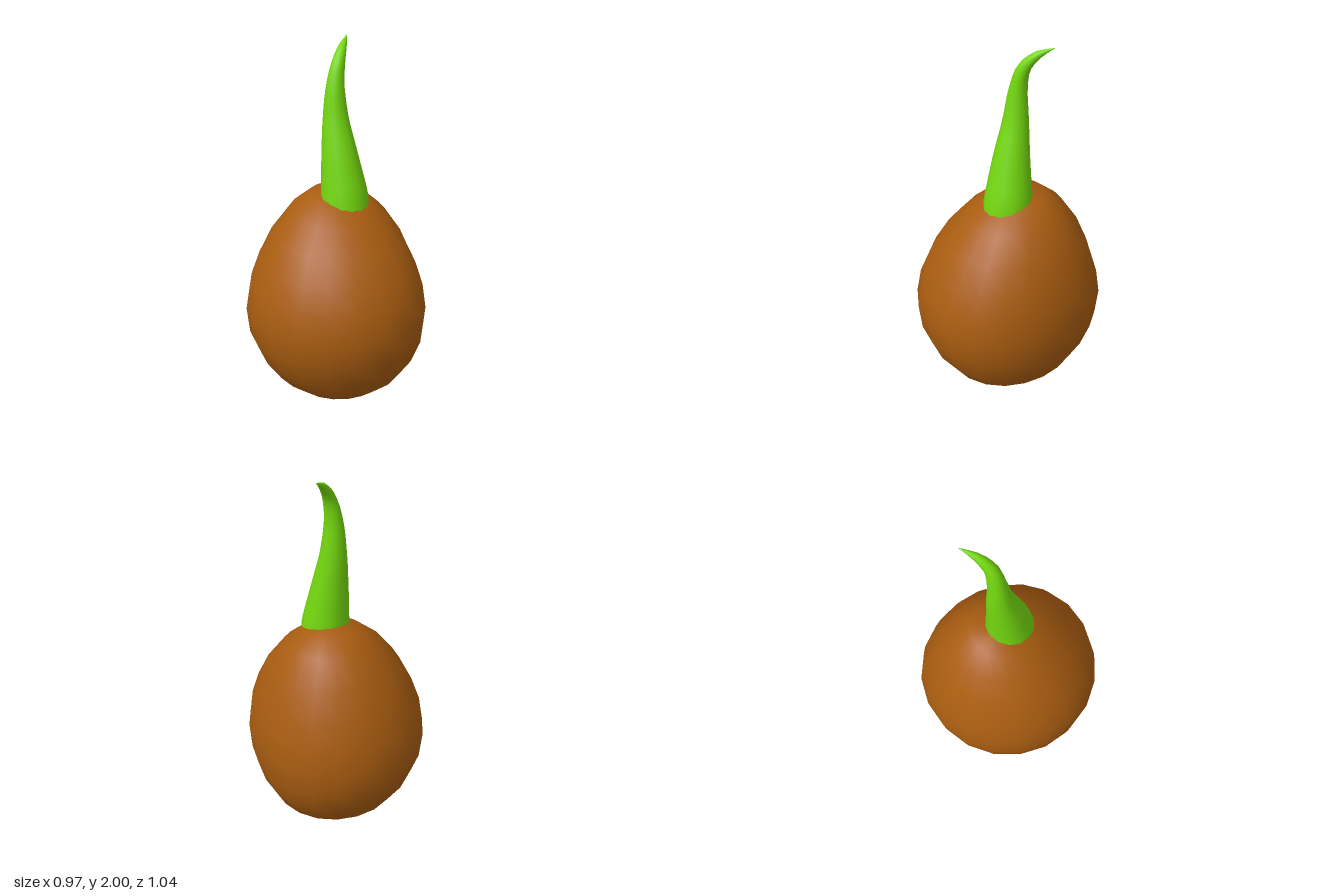
import * as THREE from 'three';
import { mergeVertices } from 'three/addons/utils/BufferGeometryUtils.js';

// Weld the seam and give smooth normals
function smooth(geometry) {
  geometry.deleteAttribute('uv');
  geometry.deleteAttribute('normal');
  const welded = mergeVertices(geometry, 1e-5);
  welded.computeVertexNormals();
  return welded;
}

// Egg-shaped body: lathe, flattened towards +x and with its top leaning back
function createBody() {
  const profile = [
    [0, 0], [0.135, 0.02], [0.26, 0.075], [0.37, 0.165], [0.45, 0.28], [0.505, 0.415], [0.52, 0.56],
    [0.495, 0.7], [0.445, 0.83], [0.37, 0.97], [0.265, 1.1], [0.155, 1.185], [0, 1.215],
  ].map(([r, y]) => new THREE.Vector2(r, y));
  const geometry = new THREE.LatheGeometry(profile, 20);
  const p = geometry.attributes.position;
  for (let i = 0; i < p.count; i++) {
    let x = p.getX(i);
    const y = p.getY(i), z = p.getZ(i);
    const t = Math.max(0, (y - 0.56) / 0.65) ** 2;
    if (x > 0) x -= 0.07 * (x / 0.52) ** 2.5;
    p.setXYZ(i, x + 0.035 + 0.015 * t, y - 0.12 * z * t, z - 0.04 * t);
  }
  const material = new THREE.MeshStandardMaterial({ color: 0xa85c10 });
  const mesh = new THREE.Mesh(smooth(geometry), material);
  mesh.name = 'body';
  return mesh;
}

// Tapered sprout that hooks over to a point
function createSprout() {
  // x, y, z, radius
  const stations = [
    [0.058, 1.1, 0.028, 0.132], [0.056, 1.2, 0.018, 0.127], [0.043, 1.4, -0.008, 0.098],
    [0.035, 1.6, -0.038, 0.068], [0.04, 1.78, -0.05, 0.046], [0.067, 1.89, -0.063, 0.034],
    [0.115, 1.96, -0.105, 0.021], [0.172, 2, -0.165, 0.001],
  ];
  const path = new THREE.CatmullRomCurve3(stations.map(([x, y, z]) => new THREE.Vector3(x, y, z)));
  const sides = 14, steps = 24;
  const geometry = new THREE.TubeGeometry(path, steps, 1, sides);
  const p = geometry.attributes.position;
  const v = new THREE.Vector3();
  for (let ring = 0; ring <= steps; ring++) {
    const u = ring / steps;
    const centre = path.getPointAt(u);
    const s = path.getUtoTmapping(u) * (stations.length - 1);
    const k = Math.min(Math.floor(s), stations.length - 2);
    const radius = THREE.MathUtils.lerp(stations[k][3], stations[k + 1][3], s - k);
    for (let j = 0; j <= sides; j++) {
      const i = ring * (sides + 1) + j;
      v.fromBufferAttribute(p, i).sub(centre).multiplyScalar(radius).add(centre);
      p.setXYZ(i, v.x, v.y, v.z);
    }
  }
  const material = new THREE.MeshStandardMaterial({ color: 0x74d80f, side: THREE.DoubleSide });
  const mesh = new THREE.Mesh(smooth(geometry), material);
  mesh.name = 'sprout';
  return mesh;
}

export function createModel() {
  const group = new THREE.Group();
  group.name = 'sproutingSeed';
  group.add(createBody(), createSprout());
  return group;
}
